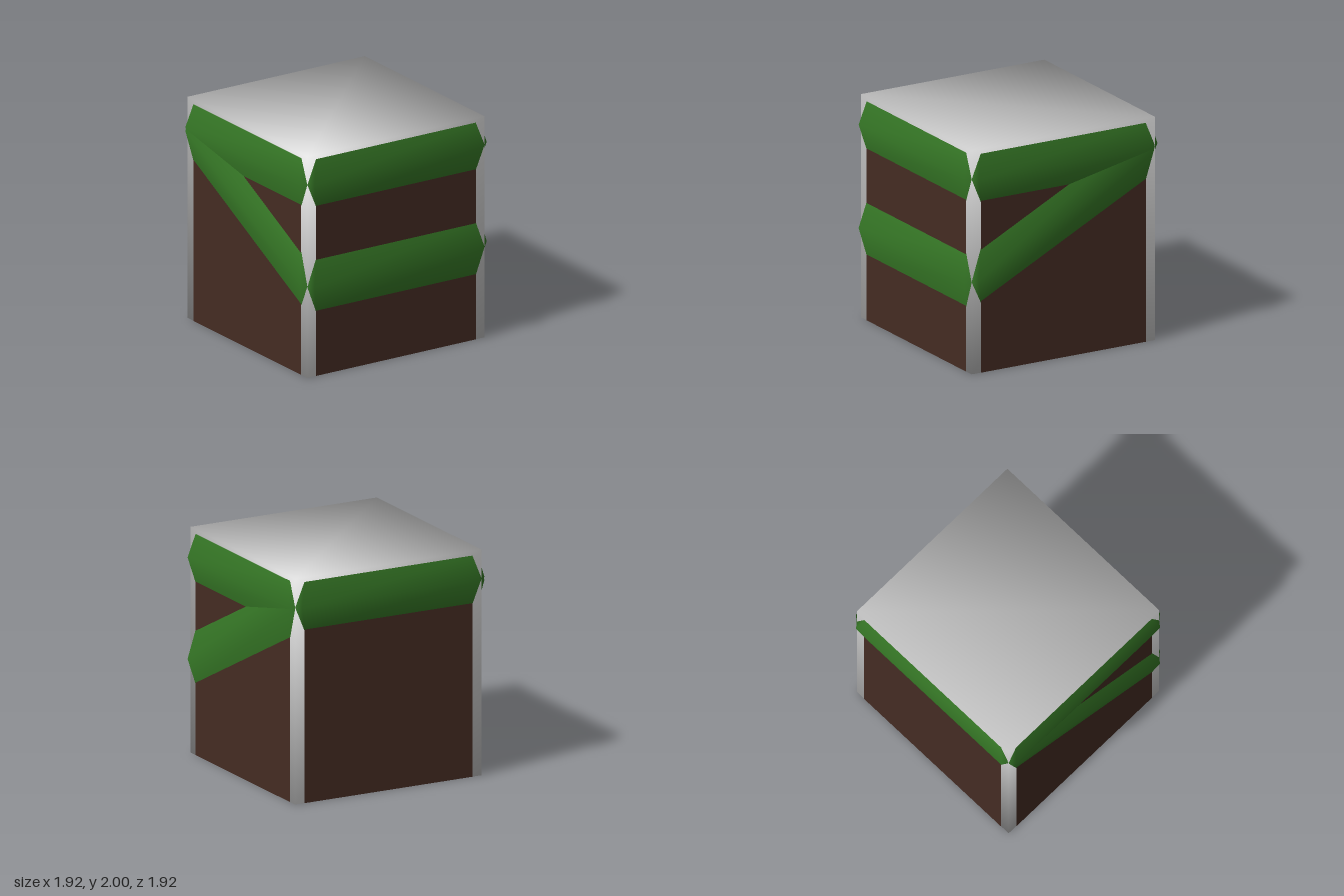
import * as THREE from 'three';
import { mergeVertices } from 'three/addons/utils/BufferGeometryUtils.js';

const HALF = 0.91;   // half width of the block
const INSET = 0.82;  // half width of the side panels

const grey = new THREE.MeshStandardMaterial({ color: 0xcccccc });
const brown = new THREE.MeshStandardMaterial({ color: 0x452c23 });
const green = new THREE.MeshStandardMaterial({ color: 0x367826, side: THREE.DoubleSide });

function part(name, geometry, material) {
  const mesh = new THREE.Mesh(geometry, material);
  mesh.name = name;
  return mesh;
}

// Block with shared corner normals for soft shading
function blockGeometry() {
  const box = new THREE.BoxGeometry(2 * HALF, 2, 2 * HALF);
  box.deleteAttribute('normal');
  box.deleteAttribute('uv');
  const geometry = mergeVertices(box);
  geometry.computeVertexNormals();
  return geometry;
}

// Ridged band with pointed ends, lying on a face; slope tilts it by shearing
function bandGeometry(mid, half, slope) {
  const points = [];
  for (const s of [-1, 1]) {
    for (const [x, dy, z] of [[INSET, -half, 0], [INSET, half, 0], [0.87, 0, 0.05], [HALF, 0, 0]]) {
      points.push(s * x, mid + dy + slope * s * x, HALF + z);
    }
  }
  // per end: 0 lower, 1 upper, 2 ridge, 3 tip (right end +4)
  const geometry = new THREE.BufferGeometry();
  geometry.setAttribute('position', new THREE.Float32BufferAttribute(points, 3));
  geometry.setIndex([
    2, 6, 5, 2, 5, 1,
    0, 4, 6, 0, 6, 2,
    3, 0, 2, 3, 2, 1,
    7, 6, 4, 7, 5, 6,
  ]);
  geometry.computeVertexNormals();
  return geometry;
}

export function createModel() {
  const model = new THREE.Group();
  model.name = 'bandedBlock';

  const block = part('block', blockGeometry(), grey);
  block.position.y = 1;
  model.add(block);

  // Each face: panel, top band and, except at the back, a second band
  const faces = [
    { name: 'front', turn: 0, second: [0.82, 0.24, 0] },
    { name: 'left', turn: Math.PI / 2, second: [1.28, 0.24, 0.5] },
    { name: 'back', turn: Math.PI, second: null },
    { name: 'right', turn: -Math.PI / 2, second: [1.28, 0.24, -0.5] },
  ];
  for (const { name, turn, second } of faces) {
    const face = new THREE.Group();
    face.name = name + 'Face';
    face.rotation.y = turn;

    const panel = part(name + 'Panel', new THREE.PlaneGeometry(2 * INSET, 1.74), brown);
    panel.position.set(0, 0.87, HALF + 0.002);
    face.add(panel);

    face.add(part(name + 'TopBand', bandGeometry(1.745, 0.215, 0), green));
    if (second) face.add(part(name + 'LowerBand', bandGeometry(...second), green));
    model.add(face);
  }
  return model;
}
